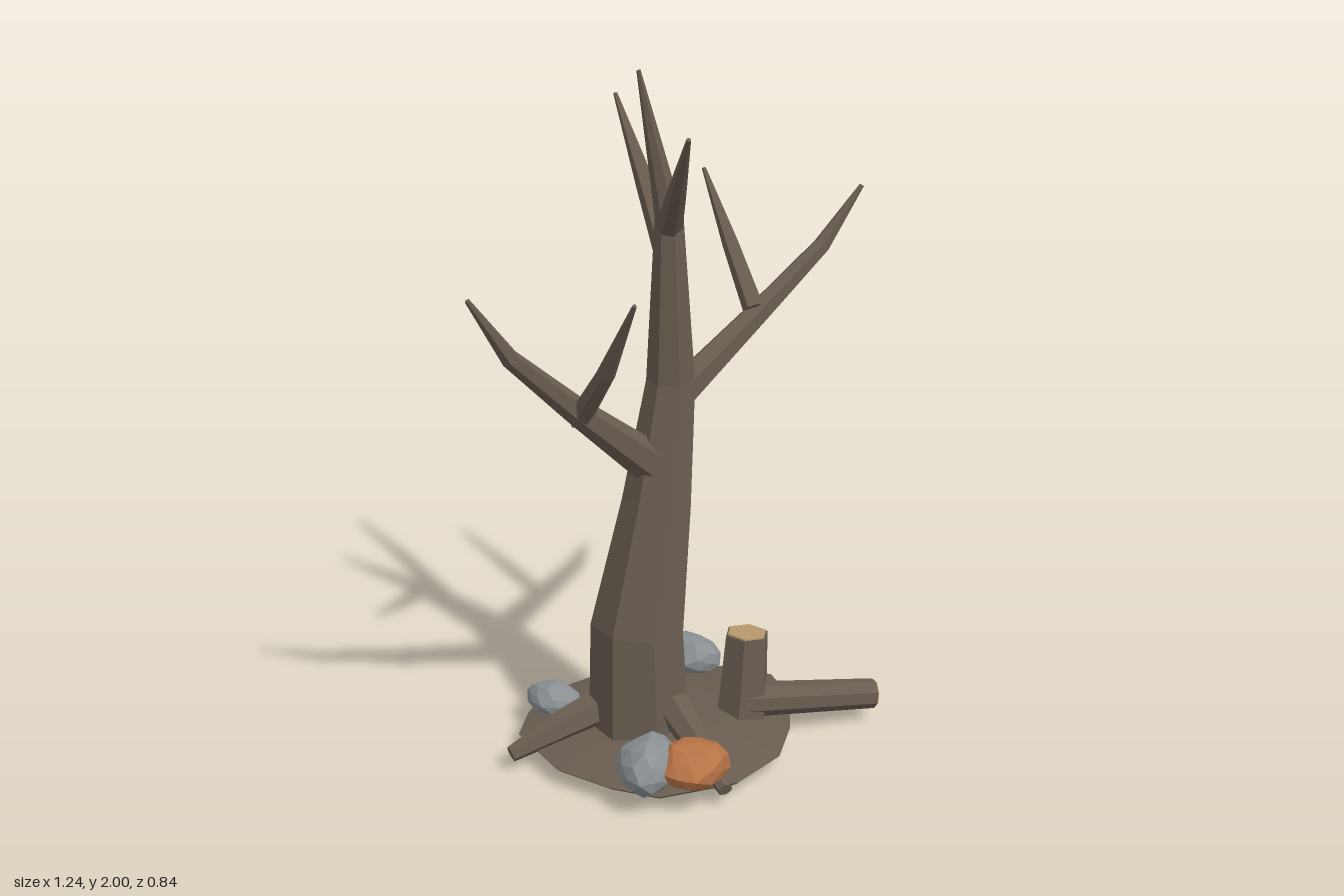
import * as THREE from 'three';

const mat = (name, color) => {
  const m = new THREE.MeshStandardMaterial({ color, flatShading: true });
  m.name = name;
  return m;
};

// Triangles between consecutive rings of points, with both ends closed
function skin(rings) {
  const pos = [];
  const tri = (a, b, c) => pos.push(...a.toArray(), ...b.toArray(), ...c.toArray());
  const centre = (ring) => ring.reduce((s, p) => s.add(p), new THREE.Vector3()).divideScalar(ring.length);
  const n = rings[0].length, last = rings[rings.length - 1];
  const c0 = centre(rings[0]), c1 = centre(last);
  for (let j = 0; j < n; j++) {
    const k = (j + 1) % n;
    for (let i = 0; i + 1 < rings.length; i++) {
      const a = rings[i], b = rings[i + 1];
      tri(a[j], a[k], b[k]);
      tri(a[j], b[k], b[j]);
    }
    tri(c0, rings[0][k], rings[0][j]);
    tri(c1, last[j], last[k]);
  }
  const g = new THREE.BufferGeometry();
  g.setAttribute('position', new THREE.Float32BufferAttribute(pos, 3));
  g.computeVertexNormals();
  return g;
}

// Tapered faceted limb through [x, y, z, radius] stations
function limb(stations, sides = 6, phase = 0.3) {
  const pts = stations.map(([x, y, z]) => new THREE.Vector3(x, y, z));
  const n = pts.length;
  const dir = pts[n - 1].clone().sub(pts[0]);
  const [ax, ay, az] = dir.toArray().map(Math.abs);
  const ref = ax <= ay && ax <= az ? new THREE.Vector3(1, 0, 0)
    : az <= ay ? new THREE.Vector3(0, 0, 1) : new THREE.Vector3(0, 1, 0);
  return skin(pts.map((p, i) => {
    const t = pts[Math.min(i + 1, n - 1)].clone().sub(pts[Math.max(i - 1, 0)]).normalize();
    const u = ref.clone().addScaledVector(t, -ref.dot(t)).normalize();
    const v = t.clone().cross(u);
    return Array.from({ length: sides }, (_, j) => {
      const a = phase + (j / sides) * Math.PI * 2, r = stations[i][3];
      return p.clone().addScaledVector(u, Math.cos(a) * r).addScaledVector(v, Math.sin(a) * r);
    });
  }));
}

// Faceted boulder with gently uneven radius
function boulder(seed) {
  const g = new THREE.IcosahedronGeometry(1, 1);
  const p = g.attributes.position, v = new THREE.Vector3();
  for (let i = 0; i < p.count; i++) {
    v.fromBufferAttribute(p, i);
    const k = 0.98 + 0.07 * Math.sin(v.x * 4.1 + seed) * Math.cos(v.y * 3.3 - seed) + 0.05 * Math.sin(v.z * 5 + seed * 2);
    p.setXYZ(i, v.x * k, v.y * k, v.z * k);
  }
  g.computeVertexNormals();
  return g;
}

export function createModel() {
  const model = new THREE.Group();
  model.name = 'bareTree';
  const bark = mat('bark', 0x685c50);
  const wood = mat('cutWood', 0xb8986c);
  const stone = mat('greyStone', 0x8a9093);
  const clay = mat('orangeStone', 0xb87447);
  const add = (name, geometry, material) => {
    const mesh = new THREE.Mesh(geometry, material);
    mesh.name = name;
    model.add(mesh);
    return mesh;
  };

  // Ground mound: irregular outline, bowl below and shallow cone above
  const outline = [
    [0.44, 0.04], [0.40, -0.10], [0.26, -0.29], [0.10, -0.38], [-0.07, -0.425], [-0.20, -0.385], [-0.315, -0.32],
    [-0.40, -0.10], [-0.385, 0.08], [-0.34, 0.22], [-0.14, 0.345], [0.05, 0.35], [0.20, 0.28], [0.36, 0.17],
  ];
  const layers = [[0.3, 0.003], [0.7, 0.016], [0.96, 0.042], [1, 0.055], [0.72, 0.08], [0.4, 0.1]];
  add('groundMound', skin(layers.map(([s, y]) => outline.map(([x, z]) => new THREE.Vector3(x * s, y, z * s)))), bark);

  // Trunk
  add('trunk', limb([
    [-0.075, 0.05, -0.06, 0.15], [-0.083, 0.4, -0.06, 0.136], [-0.018, 0.77, -0.04, 0.1],
    [0.033, 1.12, -0.03, 0.07], [0.006, 1.6, -0.015, 0.04], [-0.07, 2.0, -0.057, 0.006],
  ], 7, 0.35), bark);

  // Branches and their side twigs
  const branches = {
    lowRightBranch: [[-0.03, 0.88, -0.04, 0.06], [-0.29, 1.105, -0.095, 0.038], [-0.5, 1.305, -0.145, 0.025], [-0.62, 1.487, -0.175, 0.007]],
    lowRightTwig: [[-0.28, 1.08, -0.1, 0.034], [-0.345, 1.26, 0.05, 0.026], [-0.42, 1.5, 0.21, 0.006]],
    lowLeftBranch: [[0.04, 1.08, -0.01, 0.05], [0.32, 1.285, 0.08, 0.034], [0.5, 1.43, 0.145, 0.025], [0.613, 1.59, 0.2, 0.007]],
    lowLeftTwig: [[0.28, 1.28, 0.07, 0.03], [0.355, 1.43, -0.07, 0.023], [0.44, 1.605, -0.23, 0.006]],
    highBackBranch: [[0.03, 1.42, -0.02, 0.036], [0.135, 1.625, -0.2, 0.027], [0.228, 1.84, -0.383, 0.006]],
    highFrontBranch: [[0, 1.57, -0.01, 0.036], [-0.14, 1.72, 0.125, 0.025], [-0.298, 1.912, 0.285, 0.006]],
  };
  for (const [name, path] of Object.entries(branches)) add(name, limb(path), bark);

  // Surface roots spreading from the trunk
  const roots = {
    frontRoot: [[-0.05, 0.18, 0.02, 0.055], [-0.12, 0.12, 0.18, 0.043], [-0.2, 0.06, 0.345, 0.022]],
    backRightRoot: [[-0.08, 0.16, -0.11, 0.06], [-0.26, 0.11, -0.19, 0.046], [-0.415, 0.055, -0.26, 0.024]],
    backLeftRoot: [[-0.02, 0.17, -0.1, 0.055], [0.13, 0.12, -0.23, 0.043], [0.285, 0.06, -0.355, 0.026]],
  };
  for (const [name, path] of Object.entries(roots)) add(name, limb(path), bark);

  // Cut stump with pale top
  add('stump', limb([[0.165, 0.06, 0.13, 0.08], [0.187, 0.324, 0.13, 0.066]], 6, 0), bark);
  add('stumpTop', limb([[0.187, 0.322, 0.13, 0.06], [0.1875, 0.328, 0.13, 0.06]], 6, 0), wood);

  // Fallen log with pale end
  add('log', limb([[0.15, 0.125, 0.14, 0.052], [0.48, 0.088, 0.385, 0.044]], 8), bark);
  add('logEnd', limb([[0.478, 0.0882, 0.3835, 0.04], [0.4835, 0.0876, 0.3876, 0.04]], 8), wood);

  // Rocks: name, material, centre, half sizes, turn
  const rocks = [
    ['frontGreyRock', stone, [-0.305, 0.125, 0.155], [0.125, 0.075, 0.09], 0.5],
    ['orangeRock', clay, [-0.232, 0.13, 0.262], [0.11, 0.066, 0.095], 0.2],
    ['backGreyRock', stone, [-0.143, 0.098, -0.335], [0.068, 0.048, 0.088], 0.2],
    ['leftGreyRock', stone, [0.32, 0.11, -0.18], [0.08, 0.058, 0.108], -0.25],
  ];
  rocks.forEach(([name, material, centre, size, turn], i) => {
    const rock = add(name, boulder(i * 1.7 + 0.6), material);
    rock.position.set(...centre);
    rock.scale.set(...size);
    rock.rotation.y = turn;
  });
  return model;
}
